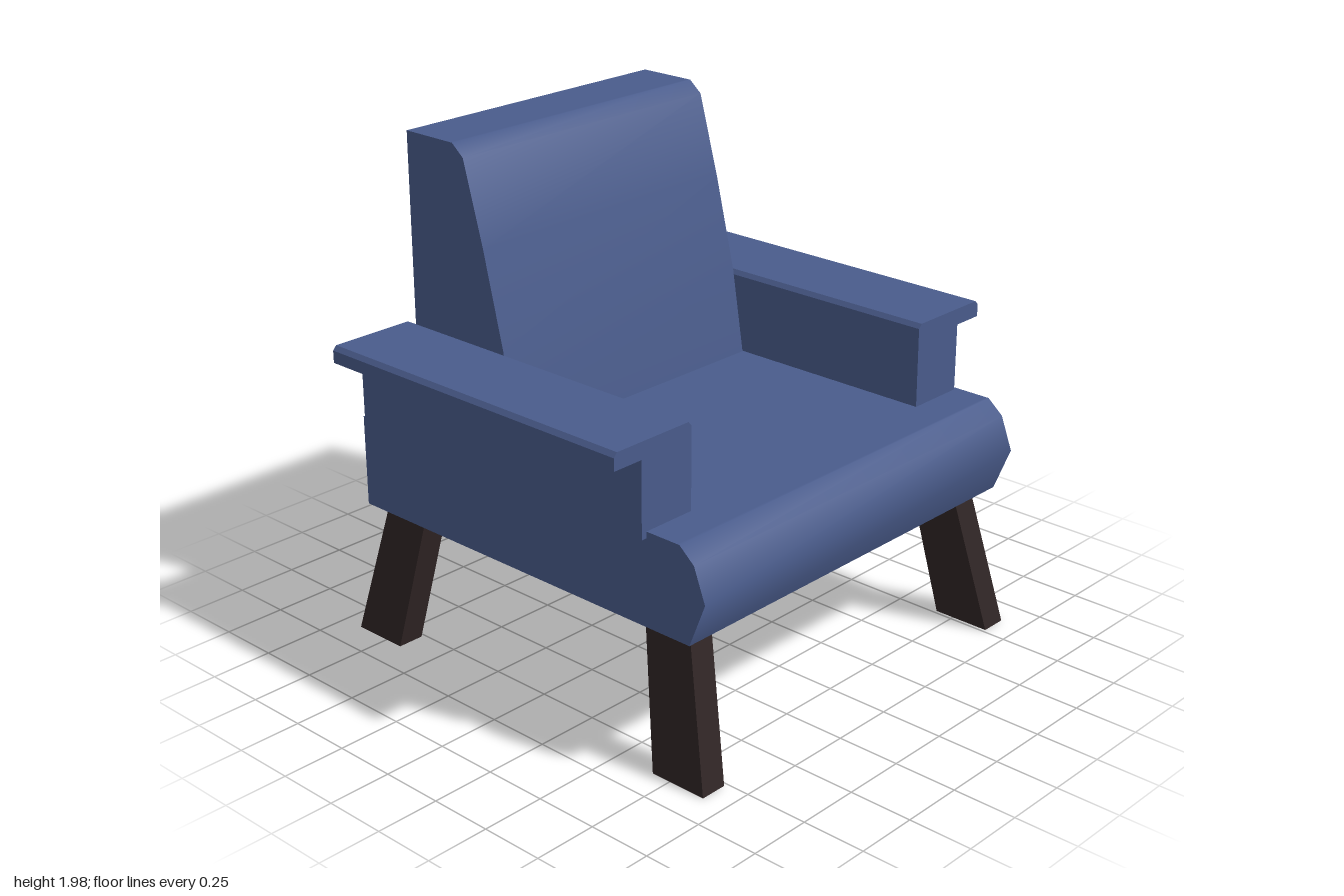
import * as THREE from 'three';
import { toCreasedNormals } from 'three/addons/utils/BufferGeometryUtils.js';

const fabric = new THREE.MeshStandardMaterial({ name: 'blue fabric', color: 0x4a5c8c });
const wood = new THREE.MeshStandardMaterial({ name: 'dark wood', color: 0x302525 });

function extrude(points, depth) {
  const shape = new THREE.Shape(points.map(([x, y]) => new THREE.Vector2(x, y)));
  return new THREE.ExtrudeGeometry(shape, { depth, bevelEnabled: false });
}

// Cushion with a (z, y) side profile, running from x0 to x1, softly rounded
function cushion(name, profile, x0, x1) {
  const geometry = extrude(profile, x1 - x0).rotateY(-Math.PI / 2).translate(x1, 0, 0);
  const mesh = new THREE.Mesh(toCreasedNormals(geometry, 0.85), fabric);
  mesh.name = name;
  return mesh;
}

// Splayed leg: a box whose ends are given their own x and z ranges
function leg(name, sx, sz) {
  const geometry = new THREE.BoxGeometry(1, 1, 1);
  const p = geometry.attributes.position;
  for (let i = 0; i < p.count; i++) {
    const top = p.getY(i) > 0;
    const outerX = p.getX(i) * sx > 0;
    const outerZ = p.getZ(i) * sz > 0;
    const x = top ? (outerX ? 0.8 : 0.693) : (outerX ? 0.873 : 0.765);
    const z = top ? (outerZ ? 0.777 : 0.57) : (outerZ ? 0.905 : 0.67);
    p.setXYZ(i, sx * x, top ? 0.546 : 0, sz * z);
  }
  geometry.computeVertexNormals();
  const mesh = new THREE.Mesh(geometry, wood);
  mesh.name = name;
  return mesh;
}

export function createModel() {
  const chair = new THREE.Group();
  chair.name = 'armchair';

  // Seat with a rolled front edge
  chair.add(cushion('seat', [
    [-0.84, 0.545], [0.82, 0.545], [0.89, 0.72], [0.84, 0.85],
    [0.775, 0.905], [0.765, 0.905], [-0.84, 0.905],
  ], -0.85, 0.89));

  // Backrest, tapering towards a rounded top
  chair.add(cushion('backrest', [
    [-0.78, 0.9], [-0.245, 0.9], [-0.3, 1.24], [-0.39, 1.61],
    [-0.48, 1.93], [-0.535, 1.975], [-0.545, 1.975], [-0.78, 1.975],
  ], -0.625, 0.625));

  // Armrests: upright panel with an overhanging, chamfered top
  const armProfile = [
    [0.63, 0.88], [0.872, 0.88], [0.872, 1.172], [1, 1.172],
    [1, 1.22], [0.985, 1.237], [0.643, 1.237], [0.628, 1.22],
  ];
  for (const side of [1, -1]) {
    const profile = armProfile.map(([x, y]) => [x * side, y]);
    const arm = new THREE.Mesh(extrude(profile, 1.43).translate(0, 0, -0.805), fabric);
    arm.name = side > 0 ? 'leftArm' : 'rightArm';
    chair.add(arm);

    // Legs
    const label = side > 0 ? 'Left' : 'Right';
    chair.add(leg('front' + label + 'Leg', side, 1), leg('back' + label + 'Leg', side, -1));
  }
  return chair;
}
